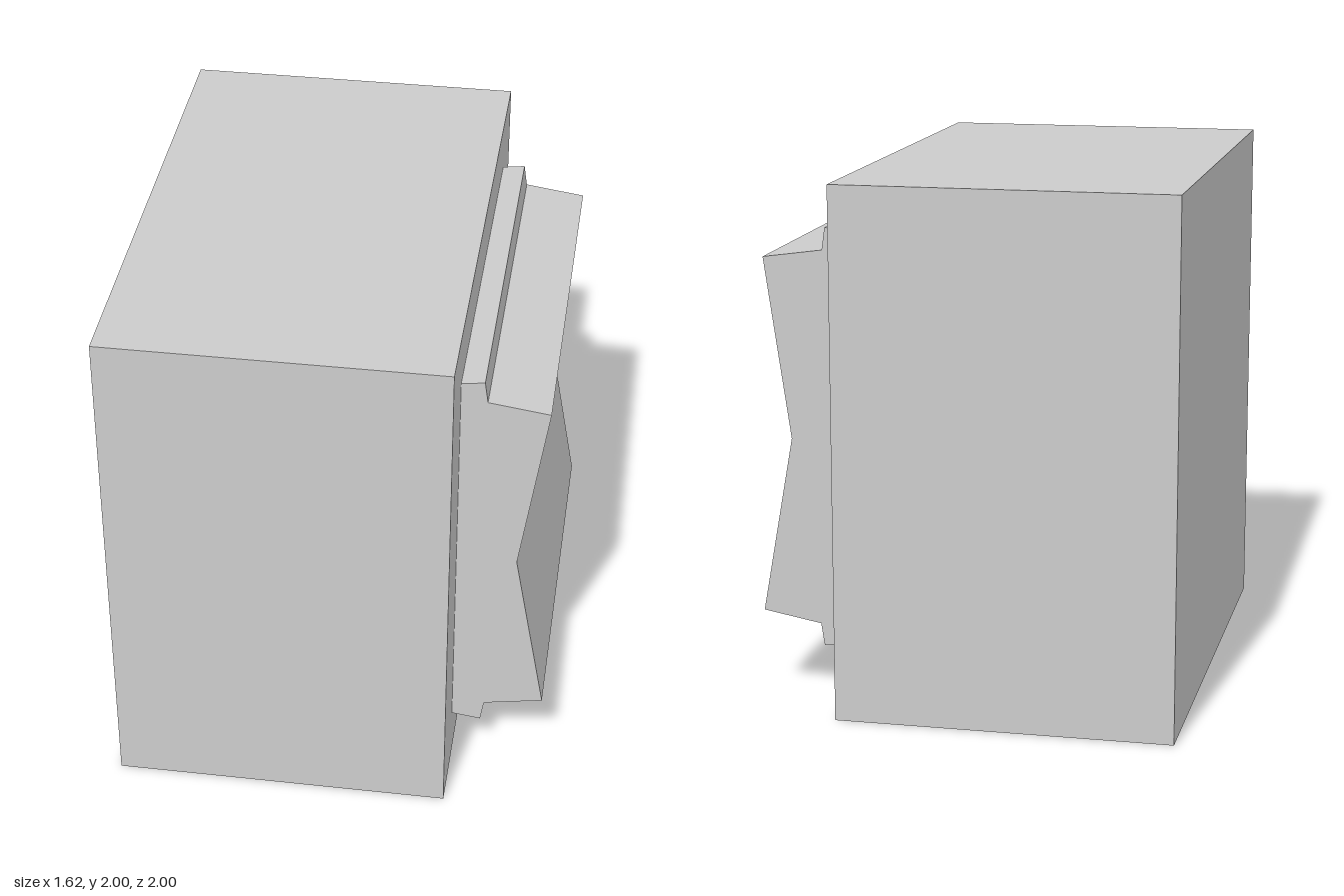
import * as THREE from 'three';

export function createModel() {
  const group = new THREE.Group();
  const material = new THREE.MeshStandardMaterial({ color: 0xcccccc, flatShading: true });

  // Switch housing
  const housing = new THREE.Mesh(new THREE.BoxGeometry(1.27, 2, 2), material);
  housing.name = 'housing';
  housing.position.set(-0.175, 1, 0);
  group.add(housing);

  // Slightly tilted rocker, its profile extruded across the housing face
  const profile = [
    [0.4, 0.23], [0.46, 0.22], [0.57, 0.205], [0.583, 0.29], [0.806, 0.33],
    [0.685, 1.005], [0.784, 1.69], [0.557, 1.722], [0.545, 1.806],
    [0.46, 1.795], [0.4, 1.787],
  ].map(([x, y]) => new THREE.Vector2(x, y));
  const rockerGeometry = new THREE.ExtrudeGeometry(new THREE.Shape(profile), {
    depth: 1.5,
    bevelEnabled: false,
  });
  rockerGeometry.translate(0, 0, -0.75);
  const rocker = new THREE.Mesh(rockerGeometry, material);
  rocker.name = 'rocker';
  group.add(rocker);

  return group;
}
